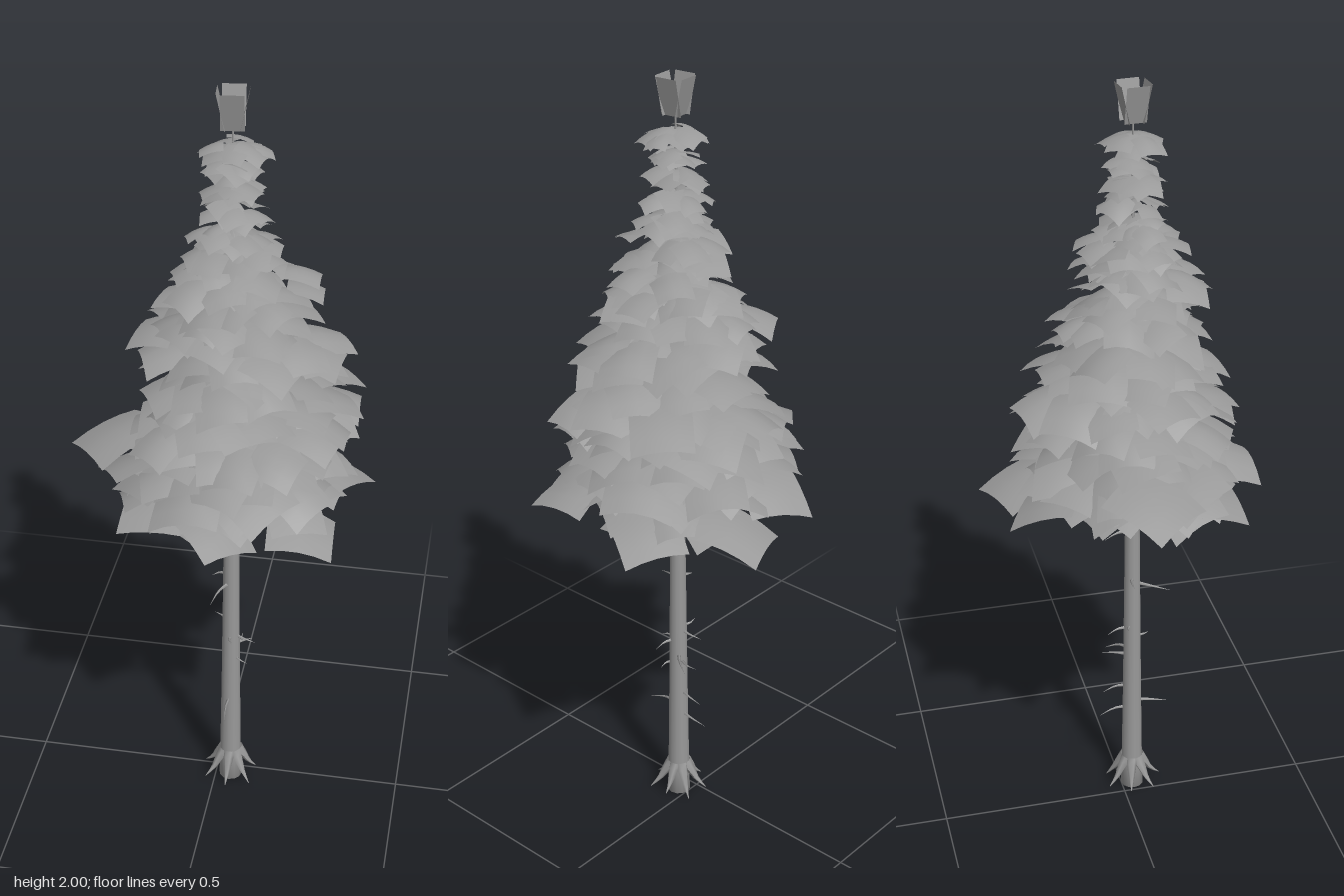
import * as THREE from 'three';
import { mergeGeometries } from 'three/addons/utils/BufferGeometryUtils.js';

const grey = new THREE.MeshStandardMaterial({ color: 0x999999, side: THREE.DoubleSide });
grey.name = 'grey';

// Seeded random numbers
let seed = 7;
const rand = (a = 0, b = 1) => {
  seed = (seed * 16807) % 2147483647;
  return a + (b - a) * (seed / 2147483647);
};

function addMesh(parent, name, geometry) {
  const mesh = new THREE.Mesh(geometry, grey);
  mesh.name = name;
  parent.add(mesh);
  return mesh;
}

// Square needle card that arches down and outwards; its outermost corner reaches `reach`
function needleCard(angle, reach, y, size, yaw) {
  const c = Math.cos(yaw), s = Math.sin(yaw);
  const half = (size / 2) * (Math.abs(c) + Math.abs(s));
  const centre = Math.max(reach - half, half * 0.3);
  const g = new THREE.PlaneGeometry(size, size, 4, 4).rotateX(-Math.PI / 2);
  const p = g.attributes.position;
  const roll = rand(-0.3, 0.3), droop = rand(0.5, 0.8), arch = rand(0.15, 0.35);
  for (let i = 0; i < p.count; i++) {
    const u = p.getX(i) * c + p.getZ(i) * s;
    const v = p.getZ(i) * c - p.getX(i) * s;
    const t = Math.max(0, (u + half) / (2 * half));
    const drop = droop * half * t * t + arch * half * (v / half) ** 2;
    p.setXYZ(i, centre + u, y - drop + roll * v, v);
  }
  g.computeVertexNormals();
  return g.rotateY(-angle);
}

// Thin curved spike used for twigs and roots
function spike(points, radius, sides) {
  const curve = new THREE.CatmullRomCurve3(points.map((q) => new THREE.Vector3(...q)));
  const rings = 5;
  const g = new THREE.TubeGeometry(curve, rings, radius, sides, false);
  const p = g.attributes.position;
  for (let i = 0; i < p.count; i++) {
    const t = Math.floor(i / (sides + 1)) / rings;
    const q = curve.getPointAt(t);
    const k = 1 - 0.95 * t;
    p.setXYZ(i, q.x + (p.getX(i) - q.x) * k, q.y + (p.getY(i) - q.y) * k, q.z + (p.getZ(i) - q.z) * k);
  }
  g.computeVertexNormals();
  return g;
}

export function createModel() {
  seed = 7;
  const model = new THREE.Group();
  model.name = 'conifer';
  const tree = new THREE.Group();
  tree.name = 'tree';
  tree.position.set(0.04, 0, 0.03);
  model.add(tree);

  // Trunk, tapering to a thin leader
  const profile = [[0, 0], [0.031, 0], [0.029, 0.08], [0.025, 0.35], [0.019, 0.9], [0.011, 1.35], [0.004, 1.7], [0.002, 1.93]];
  addMesh(tree, 'trunk', new THREE.LatheGeometry(profile.map((q) => new THREE.Vector2(...q)), 12));

  // Root flares
  const roots = [];
  for (let i = 0; i < 7; i++) {
    const tip = rand(0.07, 0.08), foot = rand(0.008, 0.025);
    roots.push(spike([[0.018, 0.092, 0], [0.036, 0.066, 0], [0.052, 0.04, 0], [tip, foot, 0]], 0.017, 6)
      .rotateY((i / 7) * Math.PI * 2 + 0.2));
  }
  addMesh(tree, 'roots', mergeGeometries(roots));

  // Dead twigs: [height, angle clockwise from +x seen from above, length, rise]
  const twigs = [
    [0.86, 1.7, 0.06, 0.01], [0.82, 4.5, 0.06, -0.01], [0.88, 3.0, 0.03, -0.01],
    [0.66, 2.0, 0.08, -0.015], [0.68, 3.3, 0.03, -0.01], [0.53, 3.6, 0.03, 0.01],
    [0.52, 4.6, 0.05, -0.01], [0.49, 0.3, 0.05, -0.01], [0.49, 1.4, 0.03, 0], [0.45, 5.4, 0.06, -0.02],
    [0.43, 5.0, 0.06, 0.005], [0.42, 0.5, 0.03, -0.01], [0.33, 4.8, 0.06, -0.015],
    [0.28, 1.6, 0.08, -0.02], [0.26, 4.7, 0.07, -0.015],
  ];
  addMesh(tree, 'twigs', mergeGeometries(twigs.map(([y, a, l, rise]) =>
    spike([[0.01, y, 0], [0.02 + l * 0.4, y + rise * 0.2, 0.004], [0.02 + l, y + rise, -0.003]], 0.006, 4).rotateY(-a))));

  // Needle tiers: [top height, reach to +x, +z, -x, -z]
  const tiers = [
    [1.868, 0.1, 0.095, 0.095, 0.09], [1.818, 0.075, 0.07, 0.075, 0.075], [1.772, 0.09, 0.085, 0.08, 0.085],
    [1.725, 0.095, 0.09, 0.09, 0.09], [1.675, 0.11, 0.11, 0.125, 0.11], [1.625, 0.155, 0.15, 0.125, 0.14],
    [1.57, 0.2, 0.19, 0.17, 0.15], [1.51, 0.22, 0.18, 0.19, 0.18], [1.45, 0.22, 0.19, 0.21, 0.22],
    [1.39, 0.3, 0.2, 0.25, 0.27], [1.32, 0.28, 0.23, 0.22, 0.26], [1.255, 0.32, 0.28, 0.23, 0.3],
    [1.19, 0.32, 0.29, 0.25, 0.32], [1.13, 0.3, 0.3, 0.26, 0.3], [1.07, 0.32, 0.33, 0.31, 0.32],
    [1, 0.33, 0.3, 0.28, 0.34],
  ];
  const foliage = new THREE.Group();
  foliage.name = 'foliage';
  tree.add(foliage);
  tiers.forEach(([y, px, pz, nx, nz], k) => {
    const mean = (px + pz + nx + nz) / 4;
    const size = 0.03 + mean * 0.38;
    const count = Math.round(7 + mean * 26);
    const cards = [];
    for (let i = 0; i < count; i++) {
      const a = ((i + rand(-0.4, 0.4)) / count) * Math.PI * 2 + k * 0.7;
      const c = Math.cos(a), s = Math.sin(a);
      const reach = c * c * (c > 0 ? px : nx) + s * s * (s > 0 ? pz : nz);
      const jitter = 0.008 + mean * 0.06;
      cards.push(needleCard(a, reach * rand(0.82, 1.05), y + rand(-jitter, jitter), size * rand(0.8, 1.15), rand(-0.8, 0.8)));
      // Shorter inner cards near the trunk
      if (mean > 0.11) {
        cards.push(needleCard(a + 0.3, reach * rand(0.35, 0.75), y + rand(-jitter, jitter), size * rand(0.6, 0.85), rand(-0.8, 0.8)));
      }
    }
    addMesh(foliage, 'needleTier' + (k + 1), mergeGeometries(cards));
  });

  // Long boughs that stand out of the skirt: [angle, reach, height, size, yaw]
  const boughs = [
    [3.21, 0.42, 1.1, 0.18, 0.75], [3.5, 0.34, 1.09, 0.16, 0.3], [2.8, 0.33, 1.08, 0.16, 0.2],
    [2.37, 0.34, 1.0, 0.16, 0.78], [0.69, 0.37, 0.99, 0.16, 0.75], [5.83, 0.38, 0.99, 0.16, 0.6],
    [5.05, 0.4, 0.99, 0.17, 0.7], [4.35, 0.36, 1.02, 0.16, 0.7], [1.6, 0.32, 0.99, 0.15, 0.78],
    [5.7, 0.34, 1.26, 0.15, 0.2], [0.05, 0.33, 1.27, 0.14, 0.5], [0.35, 0.33, 1.25, 0.14, 0.3],
    [6.1, 0.3, 1.4, 0.13, 0.4], [0.2, 0.28, 1.39, 0.13, 0.1], [0.1, 0.23, 1.5, 0.11, 0.6],
  ];
  addMesh(foliage, 'longBoughs', mergeGeometries(boughs.map((b) => needleCard(...b))));

  // Upright tuft at the top
  const tuft = [];
  for (let i = 0; i < 4; i++) {
    tuft.push(new THREE.PlaneGeometry(0.055, 0.093, 1, 2).translate(0, 0.0465, 0)
      .rotateX(0.22).translate(0, 1.909, 0.017).rotateY((i * Math.PI) / 2 + 0.1));
  }
  addMesh(tree, 'topTuft', mergeGeometries(tuft));
  return model;
}
